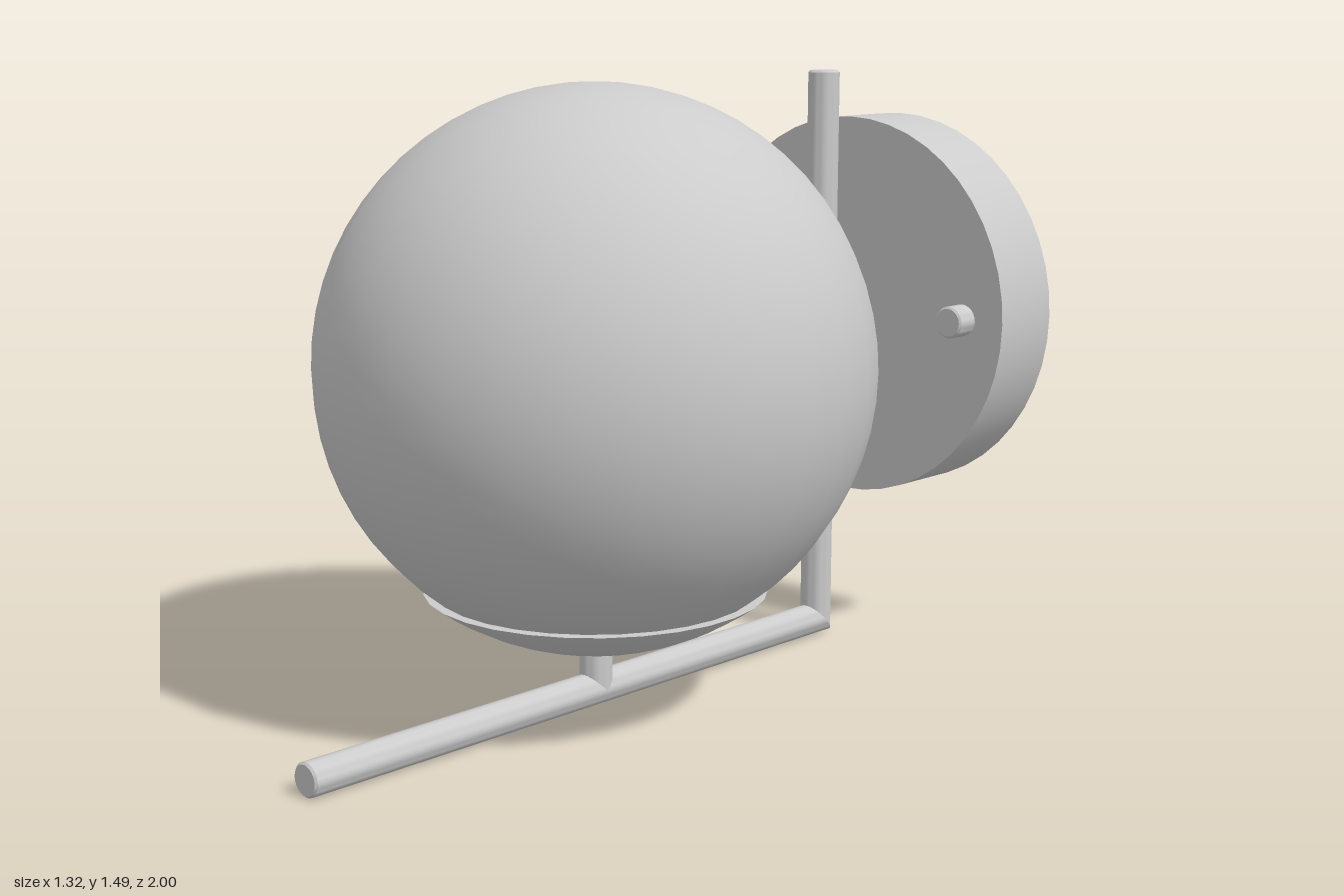
import * as THREE from 'three';
import { toCreasedNormals } from 'three/addons/utils/BufferGeometryUtils.js';

const material = new THREE.MeshStandardMaterial({ color: 0xcccccc });
const ROD = 0.04;       // radius of all rods
const BACK_Z = -0.685;  // axis of the upright
const GLOBE = { y: 0.825, z: 0.133, r: 0.659 };
const PLATE_Y = 0.87;

// Turned part standing on its local y = 0, with crisp edges
function turned(points, segments) {
  const profile = points.map(([x, y]) => new THREE.Vector2(x, y));
  return new THREE.LatheGeometry(profile, segments);
}

// Rod with a softened free end; mitre slants the base by 45 degrees
function rod(length, mitre = 0, r = ROD, bevel = 0.005) {
  const geometry = turned([[r, 0], [r, length - bevel], [r - bevel, length], [0, length]], 24);
  const p = geometry.attributes.position;
  for (let i = 0; i < p.count; i++) {
    if (p.getY(i) < 1e-6) p.setY(i, mitre * p.getZ(i));
  }
  return toCreasedNormals(geometry, 0.6);
}

export function createModel() {
  const model = new THREE.Group();
  model.name = 'wallLamp';

  function add(name, geometry, x, y, z, forward = false) {
    const mesh = new THREE.Mesh(geometry, material);
    mesh.name = name;
    mesh.position.set(x, y, z);
    if (forward) mesh.rotation.x = Math.PI / 2; // local +y points to +z
    model.add(mesh);
  }

  // L-shaped frame, mitred at the lower back corner
  add('upright', rod(1.485 - ROD, 1), 0, ROD, BACK_Z);
  add('arm', rod(1 - BACK_Z, -1), 0, ROD, BACK_Z, true);

  // Glass globe
  add('globe', new THREE.SphereGeometry(GLOBE.r, 30, 30), 0, GLOBE.y, GLOBE.z);

  // Shallow holder hugging the underside of the globe
  const outer = GLOBE.r + 0.015;
  const rimAngle = Math.acos((GLOBE.y - 0.29) / outer);
  const cup = [];
  for (let i = 0; i <= 10; i++) {
    const a = rimAngle * i / 10;
    cup.push([outer * Math.sin(a), -outer * Math.cos(a)]);
  }
  cup.push([cup[10][0] - 0.03, cup[10][1]]);
  add('globeHolder', toCreasedNormals(turned(cup, 30), 0.6), 0, GLOBE.y, GLOBE.z);
  add('globeStem', rod(0.15), 0, ROD, GLOBE.z);

  // Round wall plate, its connector and two screws
  const plate = turned([[0, 0], [0.493, 0], [0.493, 0.205], [0, 0.205]], 48);
  add('wallPlate', toCreasedNormals(plate, 0.6), 0, PLATE_Y, -1, true);
  add('plateConnector', rod(0.125), 0, PLATE_Y, -0.81, true);
  for (const side of [-1, 1]) {
    add(side > 0 ? 'leftScrew' : 'rightScrew', rod(0.075), side * 0.37, PLATE_Y, -0.81, true);
  }
  return model;
}
